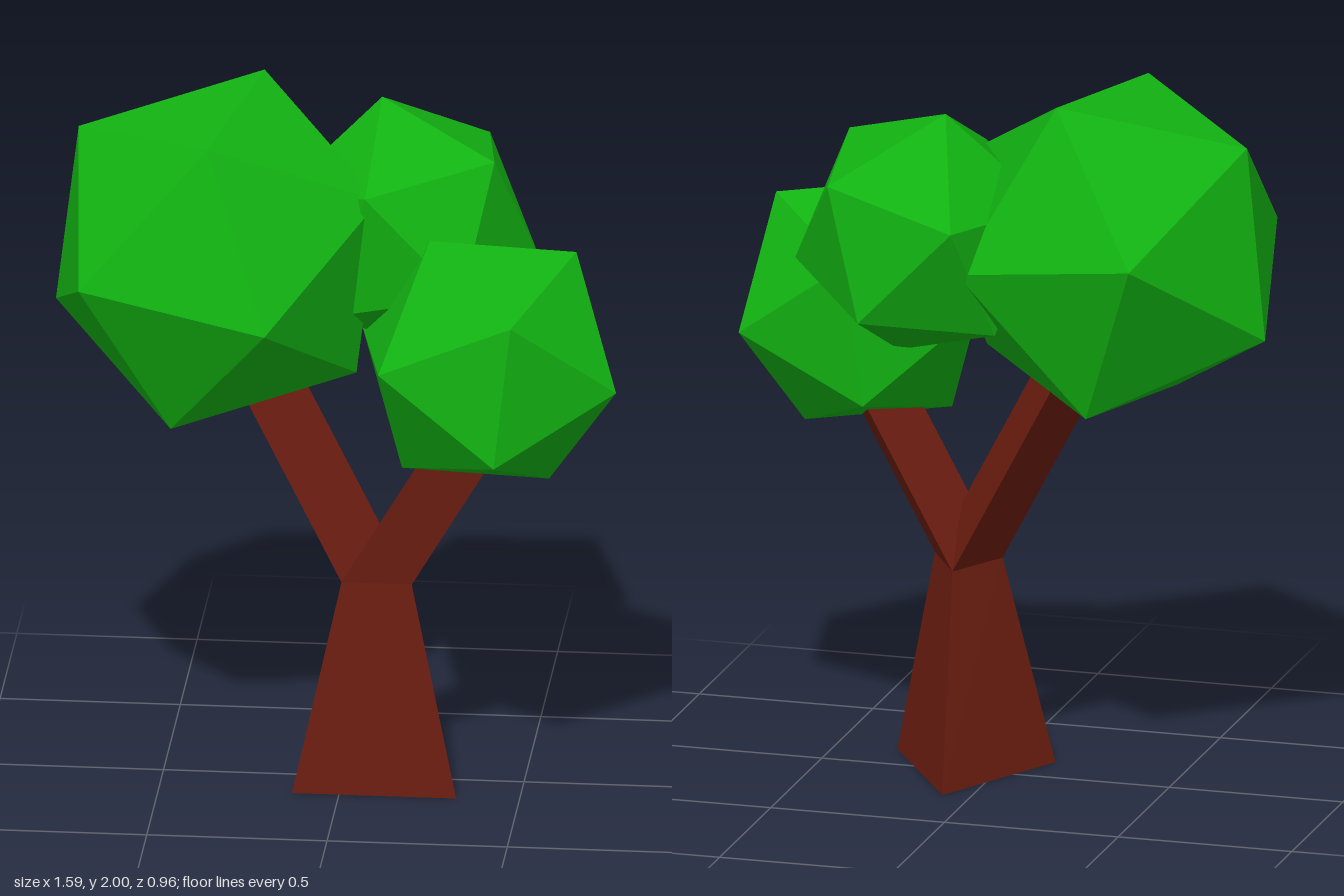
import * as THREE from 'three';

const bark = new THREE.MeshStandardMaterial({ color: 0x6b1d10, flatShading: true });
const leaves = new THREE.MeshStandardMaterial({ color: 0x12b212, flatShading: true });

// Closed three-sided prism between two triangles (left, right, back corner)
function triPrism(name, bottom, top) {
  const pos = [];
  const face = (...corners) => corners.forEach((c) => pos.push(...c));
  for (let i = 0; i < 3; i++) {
    const j = (i + 1) % 3;
    face(bottom[i], bottom[j], top[j]);
    face(bottom[i], top[j], top[i]);
  }
  face(bottom[2], bottom[1], bottom[0]);
  face(top[0], top[1], top[2]);
  const geo = new THREE.BufferGeometry();
  geo.setAttribute('position', new THREE.Float32BufferAttribute(pos, 3));
  geo.computeVertexNormals();
  const mesh = new THREE.Mesh(geo, bark);
  mesh.name = name;
  return mesh;
}

// Icosahedron turned so that two neighbouring corners point along p and q
function foliage(name, center, radius, p, q) {
  const a = new THREE.Vector3(...p).normalize();
  const b = new THREE.Vector3(...q).normalize();
  const y = a.clone().add(b).normalize();
  const x = b.clone().sub(a).normalize();
  const z = x.clone().cross(y);
  const mesh = new THREE.Mesh(new THREE.IcosahedronGeometry(radius, 0), leaves);
  mesh.quaternion.setFromRotationMatrix(new THREE.Matrix4().makeBasis(x, y, z));
  mesh.position.set(...center);
  mesh.name = name;
  return mesh;
}

export function createModel() {
  const tree = new THREE.Group();
  tree.name = 'tree';

  // Tapered trunk
  const base = [[-0.13, 0, 0.145], [0.325, 0, 0.145], [0.08, 0, -0.25]];
  const fork = [[0, 0.6, 0.07], [0.195, 0.6, 0.07], [0.095, 0.6, -0.1]];
  tree.add(triPrism('trunk', base, fork));

  // Branches: the fork section swept along a slant
  const sweep = (dx, dy, dz) => fork.map(([x, y, z]) => [x + dx, y + dy, z + dz]);
  tree.add(triPrism('rightBranch', fork, sweep(-0.38, 0.7, -0.11)));
  tree.add(triPrism('leftBranch', fork, sweep(0.35, 0.6, 0.05)));

  // Foliage
  tree.add(foliage('largeFoliage', [-0.35, 1.547, 0], 0.514, [0.11, 0.45, -0.22], [0, 0.41, 0.31]));
  tree.add(foliage('backFoliage', [0.17, 1.585, -0.14], 0.37, [0.25, 0.245, 0.13], [0.2, 0.185, -0.25]));
  tree.add(foliage('frontFoliage', [0.415, 1.295, 0.125], 0.391, [0.085, 0.215, 0.315], [0.365, -0.035, 0.135]));

  return tree;
}
